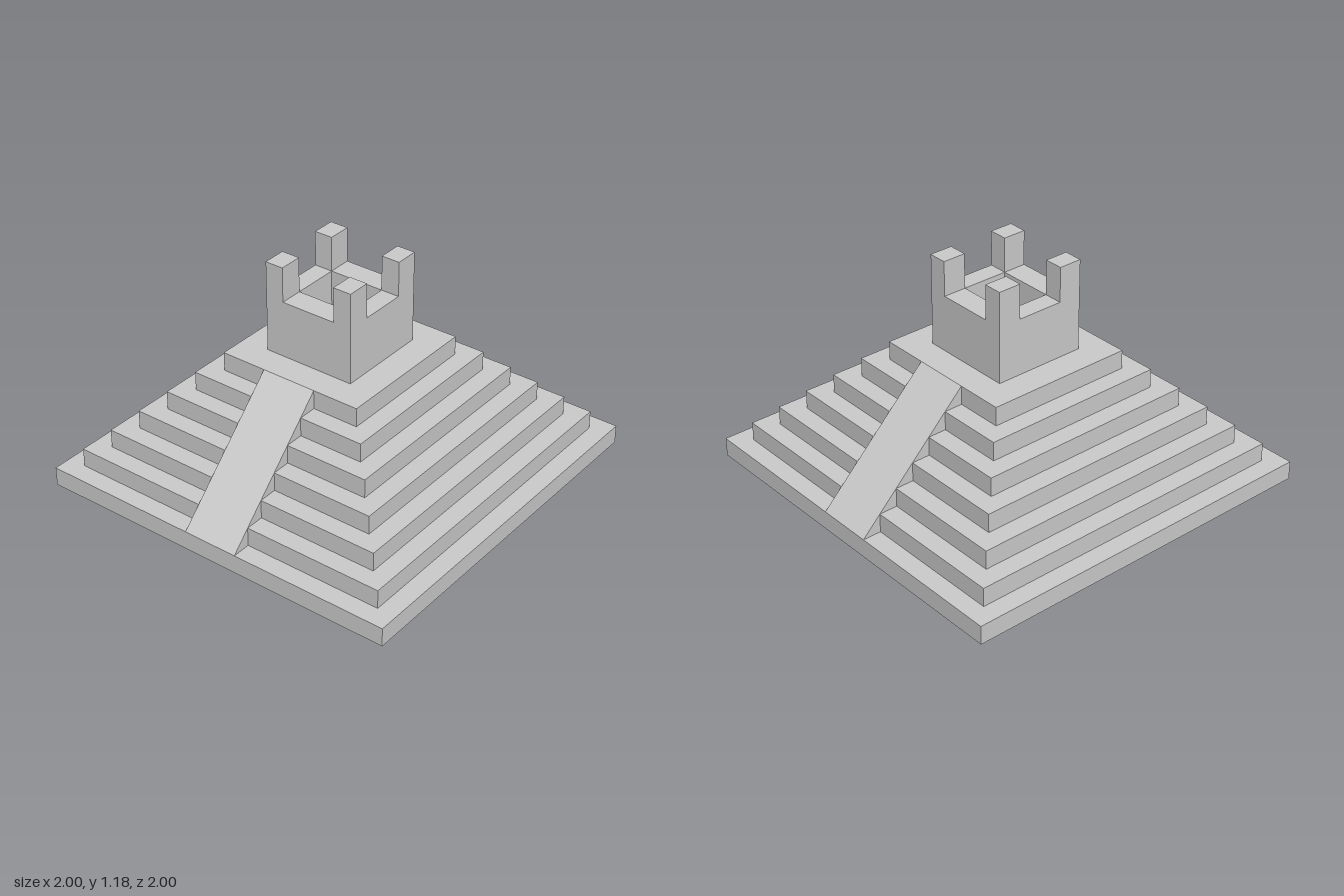
import * as THREE from 'three';

const stone = new THREE.MeshStandardMaterial({ color: 0xcccccc, flatShading: true });

function add(parent, name, geometry, x = 0, y = 0, z = 0) {
  const mesh = new THREE.Mesh(geometry, stone);
  mesh.name = name;
  mesh.position.set(x, y, z);
  parent.add(mesh);
  return mesh;
}

export function createModel() {
  const model = new THREE.Group();
  model.name = 'steppedPyramid';

  // Seven square tiers, each set in by one step height
  const step = 0.1, tiers = 7;
  for (let i = 0; i < tiers; i++) {
    const width = 2 - 2 * step * i;
    add(model, `tier${i + 1}`, new THREE.BoxGeometry(width, step, width), 0, step * (i + 0.5), 0);
  }

  // Smooth ramps up the front and back, touching every tier edge
  const rampWidth = 0.3;
  const profile = new THREE.Shape([
    new THREE.Vector2(0.4, 0.1),
    new THREE.Vector2(1, 0.1),
    new THREE.Vector2(0.4, 0.7),
  ]);
  const rampGeometry = new THREE.ExtrudeGeometry(profile, { depth: rampWidth, bevelEnabled: false });
  rampGeometry.translate(0, 0, -rampWidth / 2).rotateY(-Math.PI / 2);
  add(model, 'frontRamp', rampGeometry);
  add(model, 'backRamp', rampGeometry).rotation.y = Math.PI;

  // Temple on top: a hollow, roofless room
  const temple = new THREE.Group();
  temple.name = 'temple';
  temple.position.y = step * tiers;
  model.add(temple);

  const half = 0.25, innerX = 0.15, innerZ = 0.125, wallHeight = 0.3, postHeight = 0.185;
  const rectangle = (PathType, a, b) => new PathType([
    new THREE.Vector2(-a, -b), new THREE.Vector2(a, -b),
    new THREE.Vector2(a, b), new THREE.Vector2(-a, b),
  ]);
  const plan = rectangle(THREE.Shape, half, half);
  plan.holes.push(rectangle(THREE.Path, innerX, innerZ));
  const walls = new THREE.ExtrudeGeometry(plan, { depth: wallHeight, bevelEnabled: false });
  walls.rotateX(-Math.PI / 2);
  add(temple, 'walls', walls);

  // Corner posts
  const postGeometry = new THREE.BoxGeometry(half - innerX, postHeight, half - innerZ);
  for (const sx of [-1, 1]) {
    for (const sz of [-1, 1]) {
      add(temple, `${sz > 0 ? 'front' : 'back'}${sx > 0 ? 'Left' : 'Right'}Post`, postGeometry,
        sx * (half + innerX) / 2, wallHeight + postHeight / 2, sz * (half + innerZ) / 2);
    }
  }

  return model;
}
